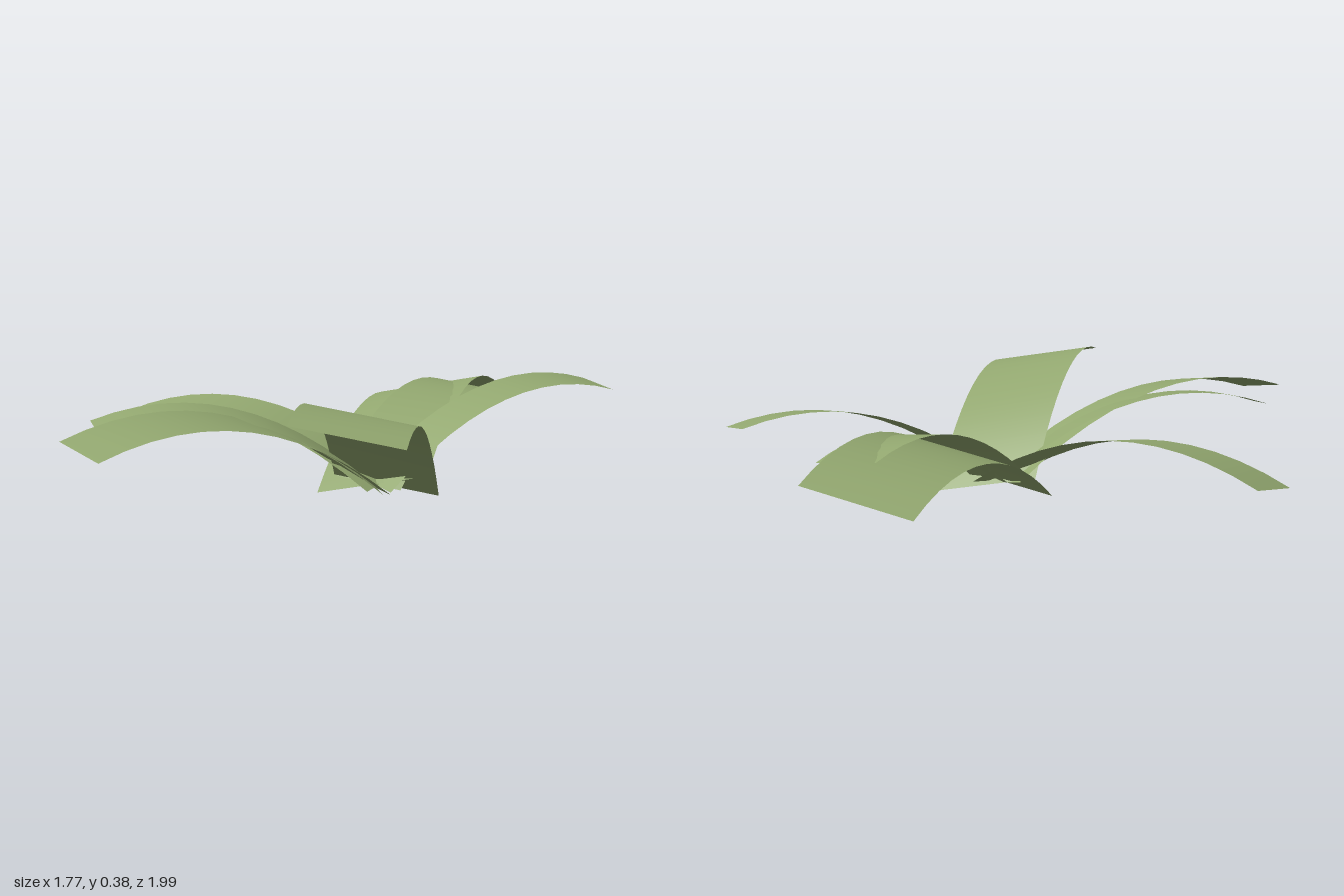
import * as THREE from 'three';

// name, base centre [x, y, z], tip centre [x, y, z], width, peak height,
// tilt (height of the right edge over the left edge, looking outward)
const LEAVES = [
  ['backLeaf', [0.15, 0.042, 0.085], [0.25, 0.22, -0.981], 0.371, 0.285, 0.07],
  ['frontLeaf', [0.19, 0.035, 0.043], [0.229, 0.318, 0.943], 0.343, 0.35, 0.062],
  ['rightLeaf', [0.18, 0.045, 0.066], [-0.85, 0.18, -0.31], 0.193, 0.267, 0.03],
  ['backLeftLeaf', [0.165, 0.04, 0.085], [0.828, 0.314, -0.548], 0.162, 0.345, -0.025],
  ['innerBackLeaf', [0.137, 0.045, 0.076], [0.386, 0.27, -0.715], 0.233, 0.305, -0.03],
  ['frontRightLeaf', [0.17, 0.04, 0.125], [-0.64, 0.268, 0.541], 0.168, 0.315, 0.025],
  ['longFrontRightLeaf', [0.14, 0.04, 0.075], [-0.57, 0.25, 0.922], 0.211, 0.31, 0.04],
];

// A flat strip bent along a parabola that rises, peaks and droops at the tip
function leafGeometry(base, tip, width, peak, tilt) {
  const geometry = new THREE.PlaneGeometry(1, 1, 1, 12);
  const position = geometry.attributes.position;
  const dx = tip[0] - base[0], dz = tip[2] - base[2];
  const length = Math.hypot(dx, dz);
  const rise = peak - base[1];
  const apex = 1 / (1 + Math.sqrt((peak - tip[1]) / rise));
  for (let i = 0; i < position.count; i++) {
    const side = position.getX(i);
    const u = position.getY(i) + 0.5;
    position.setXYZ(
      i,
      base[0] + dx * u - (dz / length) * width * side,
      peak - rise * (1 - u / apex) ** 2 + tilt * side,
      base[2] + dz * u + (dx / length) * width * side,
    );
  }
  geometry.computeVertexNormals();
  return geometry;
}

export function createModel() {
  const model = new THREE.Group();
  model.name = 'leafyPlant';
  const leafGreen = new THREE.MeshStandardMaterial({ color: 0x93a870, side: THREE.DoubleSide });
  leafGreen.name = 'leafGreen';

  // Leaves fan out from a shared root
  for (const [name, base, tip, width, peak, tilt] of LEAVES) {
    const leaf = new THREE.Mesh(leafGeometry(base, tip, width, peak, tilt), leafGreen);
    leaf.name = name;
    model.add(leaf);
  }
  return model;
}
